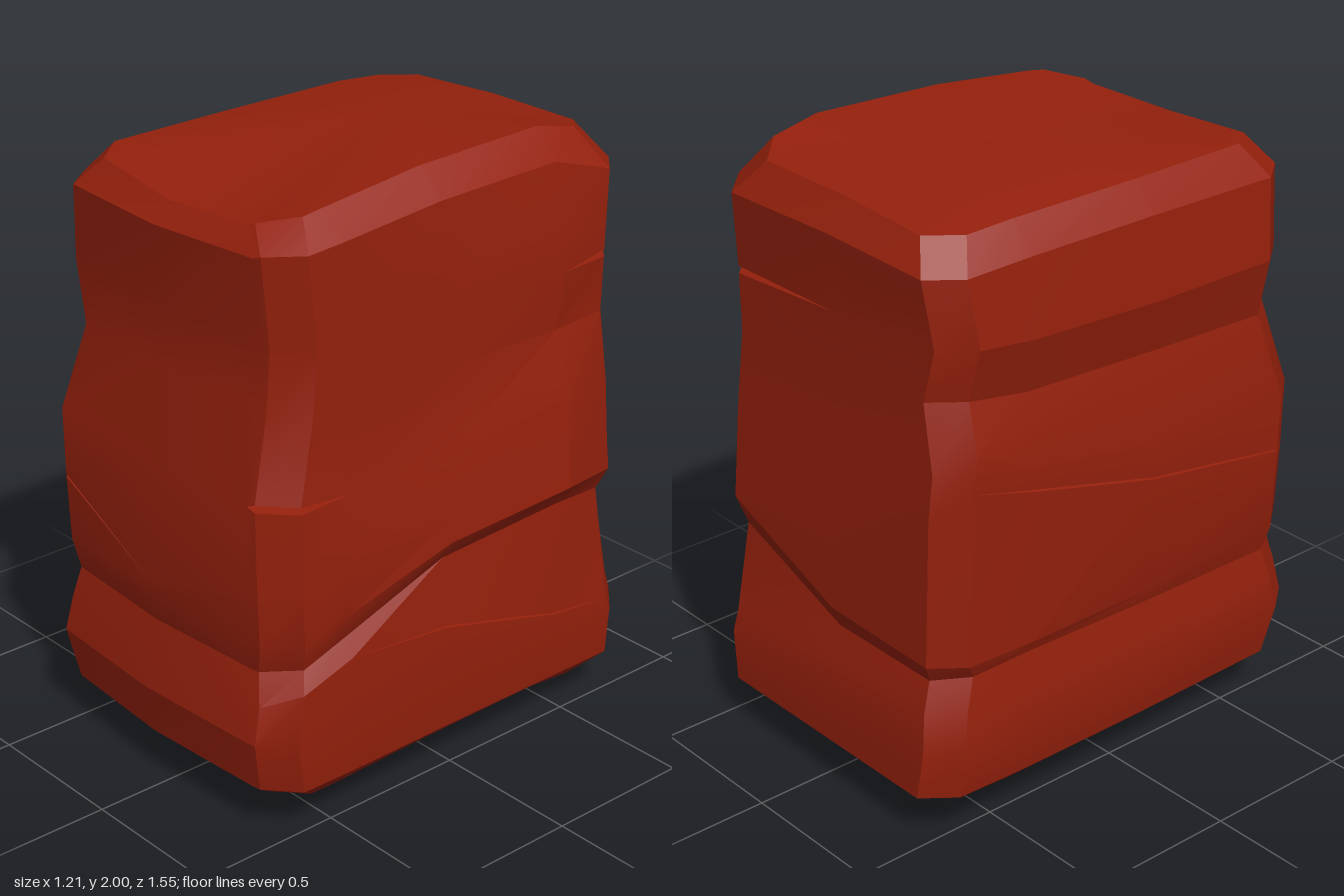
import * as THREE from 'three';
import { toCreasedNormals } from 'three/addons/utils/BufferGeometryUtils.js';

// One horizontal section: a chamfered rectangle of 16 points, running
// counterclockwise (from above) and starting at the front -x corner.
// y: one height or 16 heights; a: -x side; b: +x side; m: +x bulge; f: front; k: back
// dent: { column: inward push } turns the section into a crack of half height gap.
function section(y, a, b, m, f, k, dent, gap) {
  const pts = [
    [a + 0.09, f - 0.03], [-0.05, f], [b - 0.13, f - 0.025], [b - 0.1, f - 0.03],
    [b, f - 0.12], [b + 0.003, 0.45], [(b + m) / 2, 0.07], [m, -0.4], [b, k + 0.1],
    [b - 0.1, k], [-0.05, k], [a + 0.09, k],
    [a + 0.01, k + 0.1], [a, -0.4], [a, 0.07], [a + 0.01, f - 0.13],
  ];
  const ring = (side) => pts.map(([x, z], j) => {
    const d = (dent && dent[j]) || 0;
    const s = side === 0 ? 1 - d : 1;
    const h = Array.isArray(y) ? y[j] : y;
    return new THREE.Vector3(x * s, h + (d ? side * gap : 0), z * s);
  });
  return dent ? [ring(-1), ring(0), ring(1)] : [ring(0)];
}

// Skin the stacked sections and close both ends with a fan
function skin(rings, bottom, top) {
  const out = [];
  const tri = (p, q, r) => {
    const area = q.clone().sub(p).cross(r.clone().sub(p)).length();
    if (area > 1e-7) for (const v of [p, q, r]) out.push(v.x, v.y, v.z);
  };
  const n = rings[0].length;
  for (let j = 0; j < n; j++) {
    const l = (j + 1) % n;
    for (let i = 0; i + 1 < rings.length; i++) {
      const lo = rings[i], hi = rings[i + 1];
      tri(lo[j], lo[l], hi[l]);
      tri(lo[j], hi[l], hi[j]);
    }
    const first = rings[0], last = rings[rings.length - 1];
    tri(first[l], first[j], bottom);
    tri(last[j], last[l], top);
  }
  const geo = new THREE.BufferGeometry();
  geo.setAttribute('position', new THREE.Float32BufferAttribute(out, 3));
  return toCreasedNormals(geo, 0.34);
}

export function createModel() {
  const lowCrackY = [0.45, 0.45, 0.45, 0.45, 0.5, 0.56, 0.53, 0.41, 0.37, 0.4, 0.45, 0.45, 0.45, 0.45, 0.45, 0.45];
  const ledgeLowY = [0.55, 0.55, 0.55, 0.55, 0.565, 0.62, 0.76, 0.795, 0.77, 0.72, 0.55, 0.55, 0.56, 0.57, 0.56, 0.55];
  const ledgeHighY = [0.65, 0.64, 0.64, 0.65, 0.66, 0.71, 0.83, 0.875, 0.84, 0.81, 0.62, 0.61, 0.61, 0.61, 0.61, 0.63];
  const sideCrackY = [0.87, 0.69, 0.8, 0.85, 0.86, 0.88, 0.92, 0.95, 0.94, 0.93, 0.95, 1.1, 1.18, 1.12, 1.0, 0.91];
  const notchY = [1.1, 1.1, 1.1, 1.1, 1.1, 1.1, 1.13, 1.18, 1.15, 1.12, 1.12, 1.24, 1.29, 1.22, 1.13, 1.1];
  const waistY = [1.38, 1.38, 1.38, 1.38, 1.38, 1.38, 1.38, 1.38, 1.38, 1.38, 1.4, 1.45, 1.45, 1.42, 1.4, 1.38];
  const chestY = [1.575, 1.575, 1.575, 1.575, 1.575, 1.575, 1.575, 1.575, 1.575, 1.575, 1.59, 1.62, 1.62, 1.6, 1.58, 1.575];
  const shoulderY = [1.83, 1.83, 1.84, 1.85, 1.86, 1.87, 1.9, 1.91, 1.84, 1.83, 1.84, 1.83, 1.83, 1.84, 1.84, 1.83];
  const rimY = [1.92, 1.89, 1.9, 1.91, 1.935, 1.945, 1.985, 2.0, 1.965, 1.94, 1.94, 1.92, 1.92, 1.93, 1.93, 1.93];

  const rings = [
    ...section(0.07, -0.47, 0.44, 0.42, 0.65, -0.68),                 // lower rim
    ...section(0.16, -0.57, 0.53, 0.53, 0.75, -0.77),
    ...section(0.33, -0.6, 0.545, 0.555, 0.78, -0.768),
    ...section(lowCrackY, -0.585, 0.54, 0.555, 0.757, -0.75, { 6: 0.025, 7: 0.02 }, 0.004),
    ...section(ledgeLowY, -0.57, 0.508, 0.54, 0.73, -0.715),          // ledge underside
    ...section(ledgeHighY, -0.588, 0.535, 0.605, 0.748, -0.742),
    ...section(sideCrackY, -0.6, 0.53, 0.597, 0.75, -0.735, { 0: 0.015, 13: 0.015, 14: 0.015, 15: 0.015 }, 0.004),
    ...section(notchY, -0.605, 0.525, 0.582, 0.75, -0.722, { 3: 0.09, 4: 0.09 }, 0.012), // front corner notch
    ...section(waistY, -0.555, 0.5, 0.52, 0.68, -0.71),
    ...section(chestY, -0.6, 0.51, 0.547, 0.675, -0.705, { 8: 0.1, 9: 0.1 }, 0.012), // back corner notch
    ...section(shoulderY, -0.57, 0.5, 0.49, 0.695, -0.725),
    ...section(rimY, -0.49, 0.405, 0.405, 0.635, -0.66),              // upper rim
  ];

  // The underside stays nearly level before dipping to its lowest point
  const bottom = new THREE.Vector3(-0.05, 0, -0.38);
  rings.unshift(rings[0].map((p) => {
    const q = p.clone().lerp(bottom, 0.5);
    if (q.z > 0) q.y = 0.06;
    return q;
  }));

  const rock = new THREE.Mesh(
    skin(rings, bottom, new THREE.Vector3(-0.05, 1.985, -0.25)),
    new THREE.MeshStandardMaterial({ color: 0x94200c }),
  );
  rock.name = 'rock';

  const model = new THREE.Group();
  model.name = 'layeredRock';
  model.add(rock);
  return model;
}
